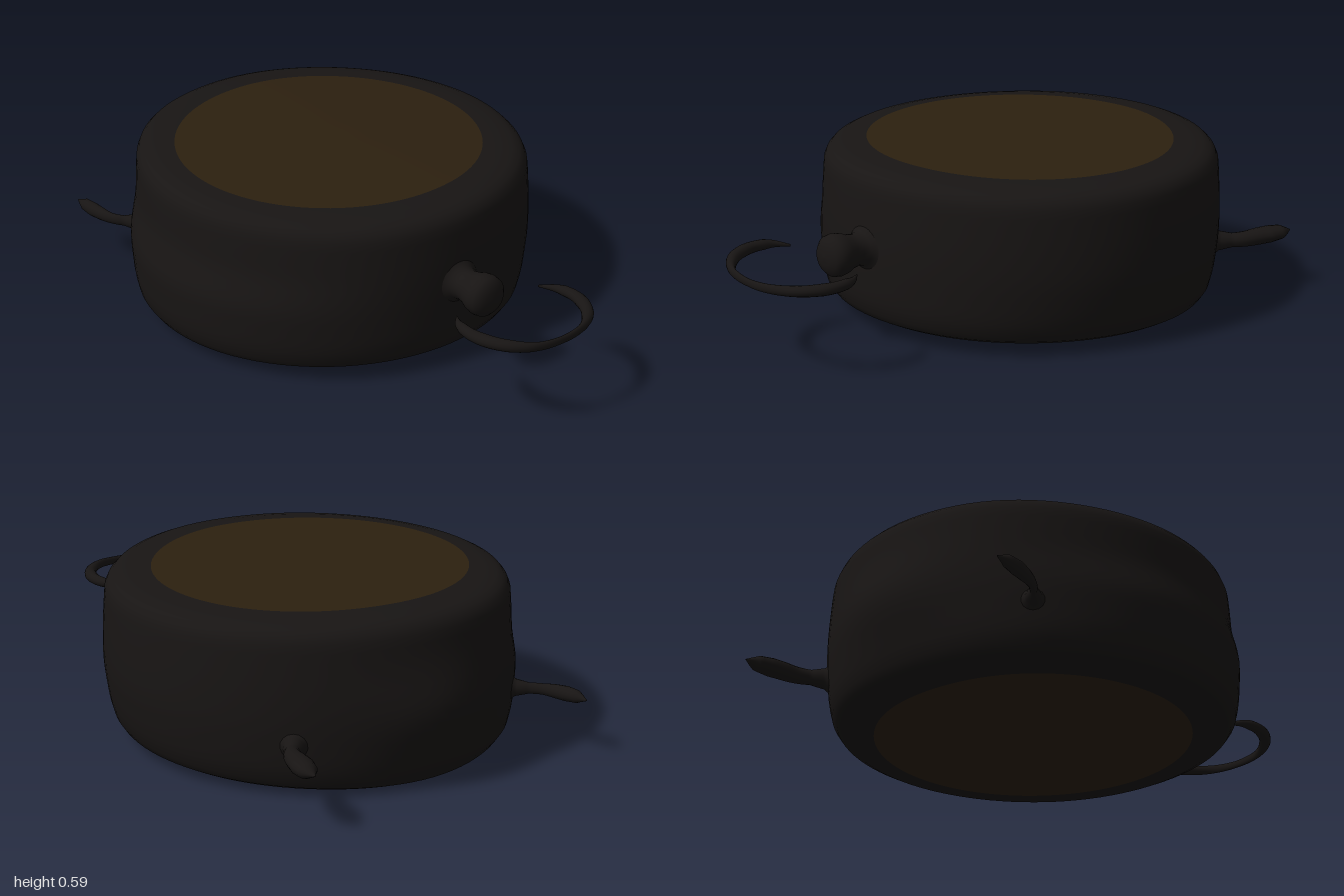
import * as THREE from 'three';
import { mergeVertices } from 'three/addons/utils/BufferGeometryUtils.js';

const dark = new THREE.MeshStandardMaterial({ color: 0x181514 });
const brown = new THREE.MeshStandardMaterial({ color: 0x2c200f });
const v2 = (pts) => pts.map(([x, y]) => new THREE.Vector2(x, y));
const v3 = (pts) => pts.map((p) => new THREE.Vector3(...p));
const gauss = (d, w) => Math.exp(-(d * d) / (w * w));
const smooth = THREE.MathUtils.smoothstep;

function mesh(name, geometry, material = dark) {
  const m = new THREE.Mesh(geometry, material);
  m.name = name;
  return m;
}

// Weld the seam and recompute smooth normals
function weld(geometry) {
  geometry.deleteAttribute('uv');
  geometry.deleteAttribute('normal');
  const g = mergeVertices(geometry, 1e-4);
  g.computeVertexNormals();
  return g;
}

// Worn, slightly irregular drum: lathe profile bent by a rule
function drumPart(profile) {
  const g = new THREE.LatheGeometry(v2(profile), 96);
  const p = g.attributes.position;
  for (let i = 0; i < p.count; i++) {
    let x = p.getX(i), y = p.getY(i), z = p.getZ(i);
    const edge = smooth(Math.hypot(x, z), 0.5, 0.7);
    const low = 1 - smooth(y, 0, 0.6);
    // upper part of the -x side is pulled in, lower part of the +x side too
    x += edge * 0.035 * smooth(-x, 0.2, 0.7) * smooth(y, 0.25, 0.42);
    x -= edge * 0.018 * smooth(x, 0.2, 0.7) * (1 - smooth(y, 0.03, 0.3));
    // shallow swelling on the back
    z -= 0.045 * edge * gauss(x, 0.25) * gauss(y - 0.29, 0.13) * (z < 0 ? 1 : 0);
    // tilted base and sagging rim
    y += low * (0.025 * z - 0.012 * gauss(x, 0.35) * smooth(-z, 0.4, 0.75));
    y -= (1 - low) * 0.014 * smooth(x, 0, 0.7);
    p.setXYZ(i, x, y, z - 0.2);
  }
  return weld(g);
}

// Tube with a tapering elliptical section: sizes = [horizontal, vertical] along the path
function taperTube(points, sizes, steps = 48, sides = 14) {
  const curve = new THREE.CatmullRomCurve3(v3(points));
  const g = new THREE.TubeGeometry(curve, steps, 1, sides);
  const p = g.attributes.position;
  for (let i = 0; i <= steps; i++) {
    const c = curve.getPointAt(i / steps);
    const f = (i / steps) * (sizes.length - 1);
    const k = Math.min(Math.floor(f), sizes.length - 2);
    const [h, v] = [0, 1].map((a) => THREE.MathUtils.lerp(sizes[k][a], sizes[k + 1][a], f - k));
    for (let j = 0; j <= sides; j++) {
      const n = i * (sides + 1) + j;
      p.setXYZ(n, c.x + (p.getX(n) - c.x) * h, c.y + (p.getY(n) - c.y) * v, c.z + (p.getZ(n) - c.z) * h);
    }
  }
  return weld(g);
}

export function createModel() {
  const model = new THREE.Group();

  // Drum: two flat faces and a wall with rounded rims
  const wall = [[0.54, 0.028], [0.6, 0.033], [0.64, 0.04], [0.67, 0.055], [0.687, 0.08], [0.696, 0.12]];
  for (let i = 0; i <= 12; i++) wall.push([0.7 + 0.008 * Math.sin((i / 12) * Math.PI), 0.15 + i * 0.03]);
  wall.push([0.697, 0.54], [0.687, 0.563], [0.67, 0.58], [0.645, 0.59], [0.6, 0.597], [0.54, 0.599]);
  model.add(mesh('drumWall', drumPart(wall)));
  const radii = [0, 0.14, 0.28, 0.4, 0.48, 0.54];
  model.add(mesh('topFace', drumPart(radii.map((r) => [r, 0.599]).reverse()), brown));
  model.add(mesh('bottomFace', drumPart(radii.map((r) => [r, 0.028])), brown));

  // Flared stem with a rounded knob at the front
  const stem = [[0.15, 0.46], [0.12, 0.483], [0.08, 0.5], [0.06, 0.52], [0.054, 0.545], [0.06, 0.575],
    [0.07, 0.6], [0.074, 0.625], [0.07, 0.648], [0.054, 0.664], [0.028, 0.672], [0, 0.674]];
  const knob = mesh('stemKnob', new THREE.LatheGeometry(v2(stem), 32));
  knob.rotation.x = Math.PI / 2;
  knob.position.y = 0.33;
  model.add(knob);

  // Open ring in front of the knob, thin at the tips and at the far side
  model.add(mesh('openRing', taperTube(
    [[-0.17, 0.335, 0.685], [-0.207, 0.343, 0.74], [-0.217, 0.343, 0.82], [-0.18, 0.338, 0.91], [-0.1, 0.328, 0.972],
      [0.01, 0.32, 0.988], [0.12, 0.322, 0.972], [0.2, 0.322, 0.91], [0.238, 0.322, 0.82], [0.228, 0.322, 0.74], [0.19, 0.322, 0.685]],
    [[0.002, 0.004], [0.018, 0.018], [0.023, 0.021], [0.02, 0.02], [0.009, 0.016], [0.007, 0.014],
      [0.009, 0.016], [0.02, 0.018], [0.023, 0.02], [0.018, 0.018], [0.002, 0.004]], 80)));

  // Two curved horns at the back; the +x one is stouter
  model.add(mesh('leftHorn', taperTube(
    [[0.4, 0.2, -0.67], [0.47, 0.2, -0.745], [0.52, 0.203, -0.81], [0.545, 0.208, -0.88], [0.568, 0.212, -0.95], [0.575, 0.212, -1]],
    [[0.12, 0.11], [0.075, 0.075], [0.036, 0.036], [0.025, 0.026], [0.03, 0.028], [0.036, 0.03], [0.04, 0.03], [0.034, 0.025], [0.001, 0.001]])));
  model.add(mesh('rightHorn', taperTube(
    [[-0.4, 0.2, -0.67], [-0.475, 0.2, -0.745], [-0.525, 0.203, -0.81], [-0.543, 0.208, -0.88], [-0.55, 0.212, -0.95], [-0.55, 0.212, -1]],
    [[0.12, 0.11], [0.075, 0.07], [0.03, 0.03], [0.013, 0.02], [0.014, 0.02], [0.02, 0.024], [0.024, 0.026], [0.02, 0.022], [0.001, 0.001]])));

  return model;
}
